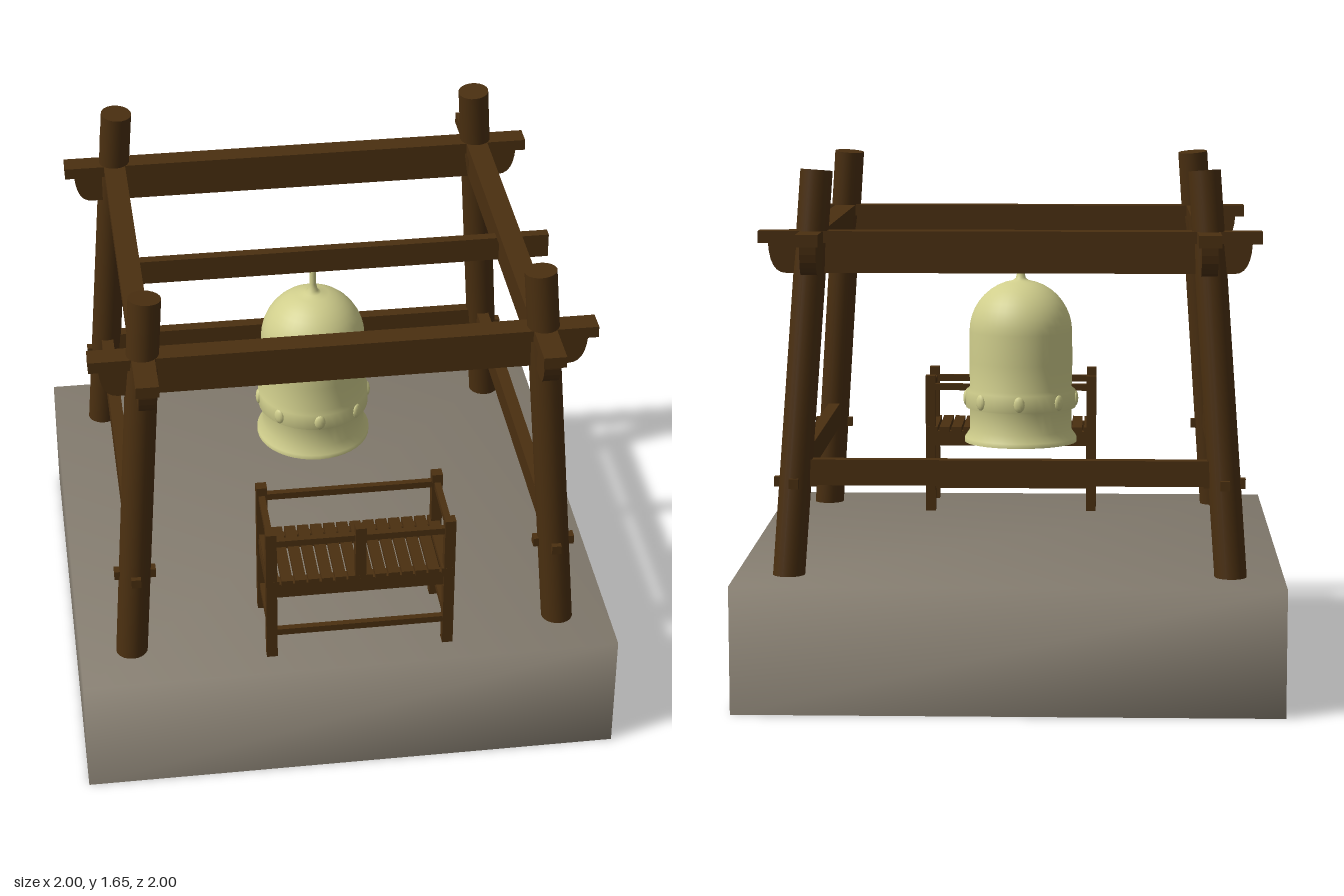
import * as THREE from 'three';
import { mergeVertices } from 'three/addons/utils/BufferGeometryUtils.js';

const wood = new THREE.MeshStandardMaterial({ color: 0x4a2f10 });
wood.name = 'dark wood';
const stone = new THREE.MeshStandardMaterial({ color: 0x857d70, side: THREE.DoubleSide });
stone.name = 'grey stone';
const bronze = new THREE.MeshStandardMaterial({ color: 0xd0ce8c, side: THREE.DoubleSide });
bronze.name = 'pale bronze';

function add(parent, name, geometry, material, x = 0, y = 0, z = 0) {
  const mesh = new THREE.Mesh(geometry, material);
  mesh.name = name;
  mesh.position.set(x, y, z);
  parent.add(mesh);
  return mesh;
}

function box(parent, name, w, h, d, x, y, z) {
  return add(parent, name, new THREE.BoxGeometry(w, h, d), wood, x, y, z);
}

// Stone slab: open underneath, with softly shared normals
function makeBase() {
  const g = new THREE.BoxGeometry(1.7, 0.4, 1.7);
  const index = Array.from(g.index.array);
  index.splice(18, 6);
  g.setIndex(index);
  g.deleteAttribute('normal');
  g.deleteAttribute('uv');
  const merged = mergeVertices(g);
  merged.computeVertexNormals();
  return merged;
}

// Top beam: rounded lower ends, capped by a wider board
function makeBeam() {
  const beam = new THREE.Group();
  const L = 0.745, r = 0.055, lo = 1.335, hi = 1.43;
  const s = new THREE.Shape();
  s.moveTo(-L, hi);
  s.quadraticCurveTo(-L + 0.005, lo, -L + r, lo);
  s.lineTo(L - r, lo);
  s.quadraticCurveTo(L - 0.005, lo, L, hi);
  s.closePath();
  const g = new THREE.ExtrudeGeometry(s, { depth: 0.05, bevelEnabled: false, curveSegments: 6 });
  g.translate(0, 0, -0.025);
  add(beam, 'beamBody', g, wood);
  box(beam, 'beamCap', 1.55, 0.037, 0.07, 0, 1.446, 0);
  return beam;
}

function makeFrame() {
  const frame = new THREE.Group();
  frame.name = 'frame';
  const up = new THREE.Vector3(0, 1, 0);
  for (const sx of [-1, 1]) {
    for (const sz of [-1, 1]) {
      // Leaning corner posts
      const a = new THREE.Vector3(sx * 0.688, 0.36, sz * 0.666);
      const b = new THREE.Vector3(sx * 0.596, 1.65, sz * 0.576);
      const dir = b.clone().sub(a);
      const post = add(frame, 'cornerPost', new THREE.CylinderGeometry(0.05, 0.05, dir.length(), 20), wood);
      post.position.copy(a).add(b).multiplyScalar(0.5);
      post.quaternion.setFromUnitVectors(up, dir.normalize());
      // Pegs through the posts
      box(frame, 'pegAcross', 0.13, 0.03, 0.03, sx * 0.664, 0.69, sz * 0.643);
      box(frame, 'pegAlong', 0.03, 0.03, 0.13, sx * 0.664, 0.69, sz * 0.643);
    }
    // Top beams in both directions
    const across = makeBeam();
    across.name = 'topBeamAcross';
    across.position.z = sx * 0.588;
    const along = makeBeam();
    along.name = 'topBeamAlong';
    along.rotation.y = Math.PI / 2;
    along.position.x = sx * 0.61;
    frame.add(across, along);
    // Side rails
    box(frame, 'sideRail', 0.04, 0.08, 1.28, sx * 0.66, 0.72, 0);
  }
  box(frame, 'backRail', 1.32, 0.08, 0.04, 0, 0.72, -0.64);
  box(frame, 'bellBeam', 1.35, 0.08, 0.032, 0.072, 1.382, -0.018);
  frame.position.z = 0.012;
  return frame;
}

function makeBell() {
  const bell = new THREE.Group();
  bell.name = 'bell';
  const points = [
    [0.185, 0.725], [0.185, 0.74], [0.168, 0.765], [0.168, 0.835], [0.181, 0.84],
    [0.181, 0.895], [0.168, 0.905], [0.17, 0.99], [0.169, 1.09],
  ];
  // Dome, then a flared stem
  for (let i = 1; i <= 9; i++) {
    const t = (i / 10) * Math.PI / 2;
    points.push([0.169 * Math.cos(t), 1.09 + 0.17 * Math.sin(t)]);
  }
  points.push([0.016, 1.266], [0.011, 1.29], [0.011, 1.36]);
  const profile = points.map(([r, y]) => new THREE.Vector2(r, y));
  add(bell, 'bellBody', new THREE.LatheGeometry(profile, 40), bronze);
  // Raised bosses round the band
  for (let i = 0; i < 8; i++) {
    const t = (i / 8) * Math.PI * 2;
    const boss = add(bell, 'bellBoss', new THREE.SphereGeometry(1, 12, 8), bronze,
      Math.sin(t) * 0.18, 0.868, Math.cos(t) * 0.18);
    boss.scale.set(0.018, 0.026, 0.01);
    boss.rotation.y = t;
  }
  bell.position.set(-0.017, 0, -0.007);
  return bell;
}

function makeBench() {
  const bench = new THREE.Group();
  bench.name = 'bench';
  const X = 0.28, Z = 0.125;
  for (const sx of [-1, 1]) {
    for (const sz of [-1, 1]) box(bench, 'benchPost', 0.034, 0.525, 0.034, sx * X, 0.6125, sz * Z);
    box(bench, 'benchArm', 0.02, 0.022, 2 * Z, sx * X, 0.835, 0);
    box(bench, 'benchSideApron', 0.024, 0.05, 2 * Z, sx * X, 0.655, 0);
    box(bench, 'benchSideStretcher', 0.02, 0.022, 2 * Z, sx * X, 0.49, 0);
    // Long rails, front and back
    box(bench, 'benchTopRail', 2 * X, 0.022, 0.02, 0, 0.835, sx * Z);
    box(bench, 'benchApron', 2 * X, 0.05, 0.024, 0, 0.655, sx * Z);
    box(bench, 'benchStretcher', 2 * X, 0.022, 0.02, 0, 0.49, sx * Z);
  }
  box(bench, 'benchMiddlePost', 0.034, 0.19, 0.034, 0, 0.78, Z);
  // Seat slats
  const n = 14;
  for (let i = 0; i < n; i++) {
    box(bench, 'seatSlat', 0.035, 0.018, 0.285, -0.273 + (0.546 * i) / (n - 1), 0.687, 0);
  }
  bench.position.set(0.032, 0, 0.63);
  return bench;
}

export function createModel() {
  const model = new THREE.Group();
  model.name = 'bellPavilion';
  const turned = new THREE.Group();
  turned.name = 'pavilion';
  turned.rotation.y = -0.196;
  add(turned, 'stoneBase', makeBase(), stone, 0, 0.2, 0);
  turned.add(makeFrame(), makeBell(), makeBench());
  model.add(turned);
  return model;
}
